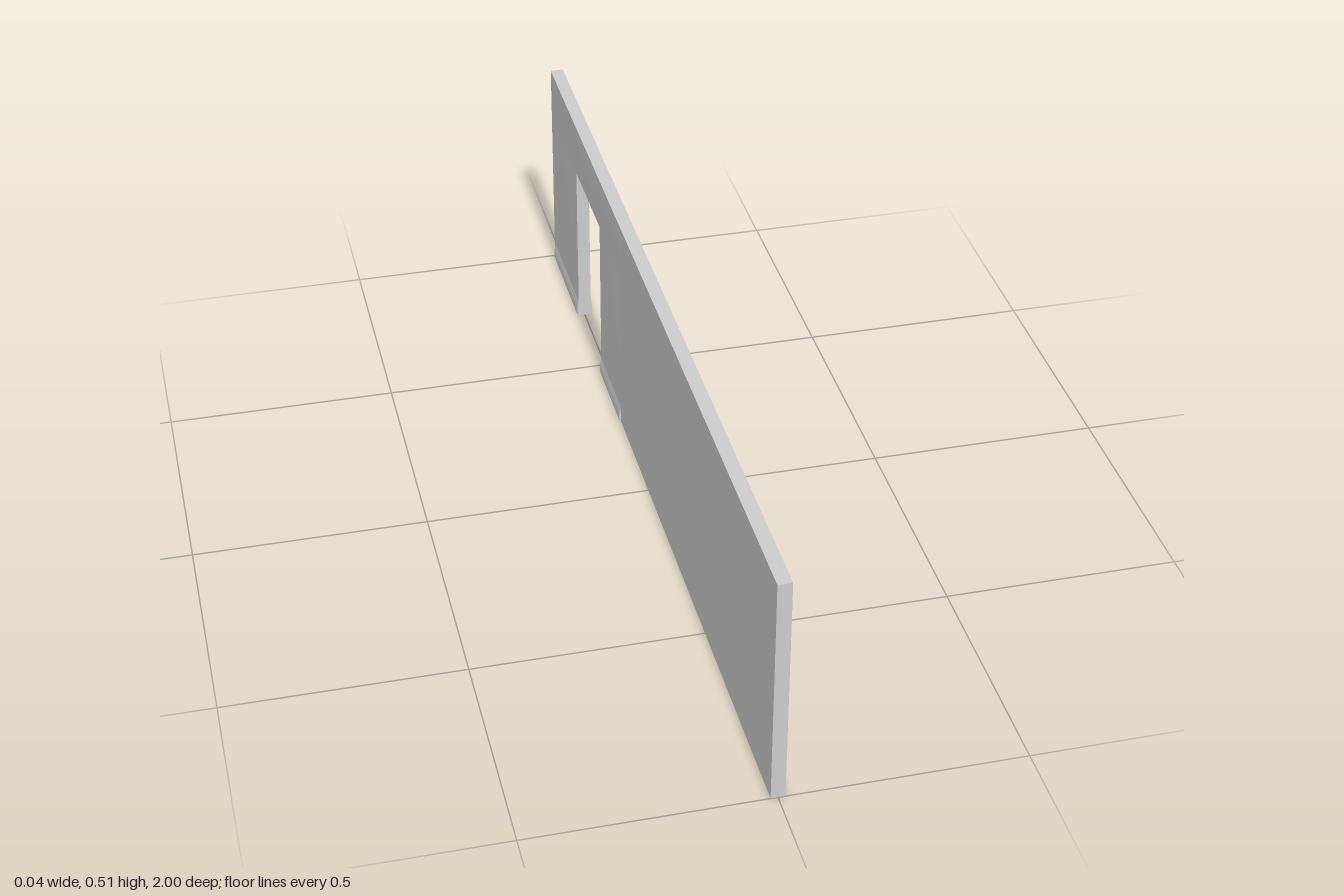
import * as THREE from 'three';

const material = new THREE.MeshStandardMaterial({ color: 0xcccccc });
const FACE = 0.0145; // half thickness of the wall

export function createModel() {
  const wall = new THREE.Group();
  wall.name = 'wallWithDoorway';

  const add = (name, geometry) => {
    const mesh = new THREE.Mesh(geometry, material);
    mesh.name = name;
    wall.add(mesh);
    return mesh;
  };

  // Extrude a (z, y) outline through the wall thickness, centred on x = 0
  const slab = (name, points, depth, x = 0) => {
    const shape = new THREE.Shape(points.map(([z, y]) => new THREE.Vector2(-z, y)));
    const geometry = new THREE.ExtrudeGeometry(shape, { depth, bevelEnabled: false });
    geometry.translate(0, 0, -depth / 2).rotateY(Math.PI / 2).translate(x, 0, 0);
    return add(name, geometry);
  };

  // Shallow worn plaster panel: four corners on the face and one raised apex
  const panel = (name, side, z0, z1, y0, y1, az, ay, rise) => {
    const base = side * (FACE + 0.0004), top = side * (FACE + rise);
    const corners = [[z0, y0], [z0, y1], [z1, y1], [z1, y0]];
    const positions = [top, ay, az];
    corners.forEach(([z, y]) => positions.push(base, y, z));
    const index = [];
    for (let i = 0; i < 4; i++) {
      const a = 1 + i, b = 1 + (i + 1) % 4;
      index.push(0, ...(side > 0 ? [a, b] : [b, a]));
    }
    const geometry = new THREE.BufferGeometry();
    geometry.setAttribute('position', new THREE.Float32BufferAttribute(positions, 3));
    geometry.setIndex(index);
    geometry.computeVertexNormals();
    add(name, geometry);
  };

  // Skirting with a sloped top edge, running along z
  const skirting = (name, side, z0, z1, height, rise) => {
    const shape = new THREE.Shape([
      [0, 0], [FACE + rise * 0.7, 0], [FACE + rise, height * 0.2],
      [FACE + rise * 0.8, height * 0.6], [FACE, height], [0, height],
    ].map(([x, y]) => new THREE.Vector2(x, y)));
    const geometry = new THREE.ExtrudeGeometry(shape, { depth: z1 - z0, bevelEnabled: false });
    if (side > 0) geometry.translate(0, 0, z0);
    else geometry.rotateY(Math.PI).translate(0, 0, z1);
    add(name, geometry);
  };

  // Main wall, cut by the doorway
  slab('wall', [
    [1, 0], [-0.47, 0], [-0.47, 0.39], [-0.72, 0.39], [-0.72, 0],
    [-1, 0], [-1, 0.511], [1, 0.511],
  ], FACE * 2);

  // Left face: lower panels
  panel('endPanel', 1, 0.75, 0.99, 0.05, 0.39, 0.97, 0.22, 0.0015);
  panel('middlePanel', 1, -0.2, 0.28, 0.05, 0.39, -0.1, 0.2, 0.001);
  panel('doorSidePanel', 1, -0.44, -0.2, 0.05, 0.39, -0.31, 0.23, 0.002);
  panel('farPanel', 1, -0.96, -0.72, 0.05, 0.39, -0.94, 0.2, 0.002);

  // Left face: upper frieze blocks
  [[0.75, 0.99], [0.28, 0.51], [0.04, 0.28]].forEach(([z0, z1]) =>
    panel('friezePanel', 1, z0, z1, 0.4, 0.508, (z0 + z1) / 2, 0.44, 0.001));
  panel('lintelPanel', 1, -0.68, -0.5, 0.395, 0.505, -0.6, 0.455, 0.001);

  // Left face: skirtings and door trim
  skirting('skirting', 1, -0.47, 0.04, 0.05, 0.003);
  skirting('skirting', 1, 0.04, 0.16, 0.045, 0.002);
  skirting('skirting', 1, 0.16, 0.64, 0.05, 0.0025);
  skirting('skirting', 1, -0.96, -0.72, 0.05, 0.003);
  slab('doorTrim', [[-0.44, 0.05], [-0.47, 0.05], [-0.47, 0.39], [-0.44, 0.39]], 0.002, FACE + 0.001);

  // Right face: panels and skirtings around the doorway, the rest is plain
  panel('backDoorPanel', -1, -0.47, -0.25, 0.04, 0.39, -0.36, 0.15, 0.001);
  panel('backFriezePanel', -1, -0.48, -0.25, 0.4, 0.505, -0.37, 0.455, 0.0025);
  panel('backLintelPanel', -1, -0.7, -0.5, 0.4, 0.505, -0.6, 0.44, 0.001);
  panel('backEndPanel', -1, -0.99, -0.74, 0.04, 0.39, -0.86, 0.2, 0.001);
  skirting('backSkirting', -1, -0.99, -0.72, 0.04, 0.004);
  skirting('backSkirting', -1, -0.47, -0.27, 0.04, 0.004);

  return wall;
}
